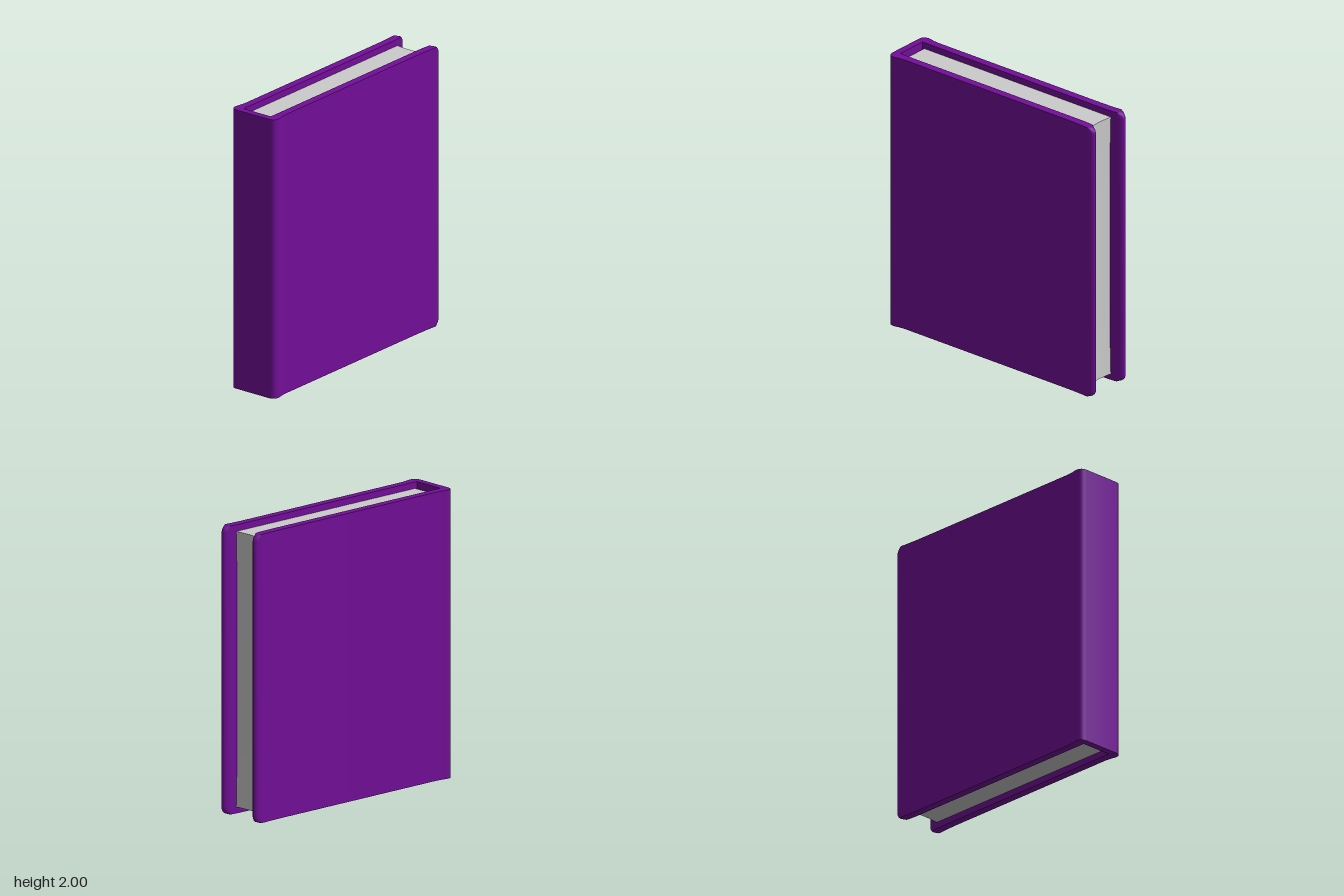
import * as THREE from 'three';
import { toCreasedNormals } from 'three/addons/utils/BufferGeometryUtils.js';

const HEIGHT = 2;
const CORNER = 0.05;

// Wrap-around cover: a U-shaped section extruded upwards
function coverGeometry() {
  const s = new THREE.Shape();
  s.moveTo(-0.895, 0);
  s.lineTo(-0.895, 0.14);
  s.bezierCurveTo(-0.893, 0.18, -0.865, 0.19, -0.835, 0.185);
  s.quadraticCurveTo(-0.79, 0.174, -0.75, 0.173);
  s.lineTo(0.62, 0.173);
  s.quadraticCurveTo(0.74, 0.173, 0.83, 0.18);
  s.bezierCurveTo(0.87, 0.181, 0.893, 0.17, 0.893, 0.153);
  s.bezierCurveTo(0.893, 0.138, 0.87, 0.127, 0.84, 0.123);
  s.quadraticCurveTo(0.8, 0.116, 0.72, 0.116);
  s.lineTo(-0.845, 0.116);
  s.lineTo(-0.845, -0.116);
  // the back board mirrors the front board
  s.lineTo(0.72, -0.116);
  s.quadraticCurveTo(0.8, -0.116, 0.84, -0.123);
  s.bezierCurveTo(0.87, -0.127, 0.893, -0.138, 0.893, -0.153);
  s.bezierCurveTo(0.893, -0.17, 0.87, -0.181, 0.83, -0.18);
  s.quadraticCurveTo(0.74, -0.173, 0.62, -0.173);
  s.lineTo(-0.75, -0.173);
  s.quadraticCurveTo(-0.79, -0.174, -0.835, -0.185);
  s.bezierCurveTo(-0.865, -0.19, -0.893, -0.18, -0.895, -0.14);
  s.closePath();

  // heights bunched at both ends, where the fore-edge corners are rounded
  const low = [0, 0.15, 0.4, 0.7, 1].map((t) => t * CORNER);
  const levels = [...low, ...low.map((y) => HEIGHT - y).reverse()];
  const steps = levels.length - 1;
  const geo = new THREE.ExtrudeGeometry(s, {
    depth: steps, steps, bevelEnabled: false, curveSegments: 8,
  });
  geo.rotateX(-Math.PI / 2);
  const p = geo.attributes.position;
  for (let i = 0; i < p.count; i++) {
    const y = levels[Math.round(p.getY(i))];
    p.setY(i, y);
    const inset = Math.max(0, 1 - Math.min(y, HEIGHT - y) / CORNER);
    const scale = Math.max(0.1, Math.sqrt(1 - inset * inset));
    const start = 0.843;
    if (p.getX(i) > start) p.setX(i, start + (p.getX(i) - start) * scale);
  }
  return toCreasedNormals(geo, 0.7);
}

// Page block with a slightly hollow fore edge
function pagesGeometry() {
  const geo = new THREE.BoxGeometry(1.63, 1.91, 0.232, 1, 10, 8);
  const p = geo.attributes.position;
  for (let i = 0; i < p.count; i++) {
    if (p.getX(i) < 0) continue;
    const v = p.getY(i) / 0.955;
    const w = p.getZ(i) / 0.116;
    p.setX(i, p.getX(i) - 0.009 * (1 - w * w) - 0.008 * (1 - v ** 4));
  }
  geo.translate(-0.015, 1, 0);
  return toCreasedNormals(geo, 0.6);
}

export function createModel() {
  const book = new THREE.Group();
  book.name = 'book';
  const add = (name, geometry, color) => {
    const mesh = new THREE.Mesh(geometry, new THREE.MeshStandardMaterial({ color }));
    mesh.name = name;
    book.add(mesh);
  };
  add('cover', coverGeometry(), 0x730e99);
  add('pages', pagesGeometry(), 0xcccccc);
  return book;
}
